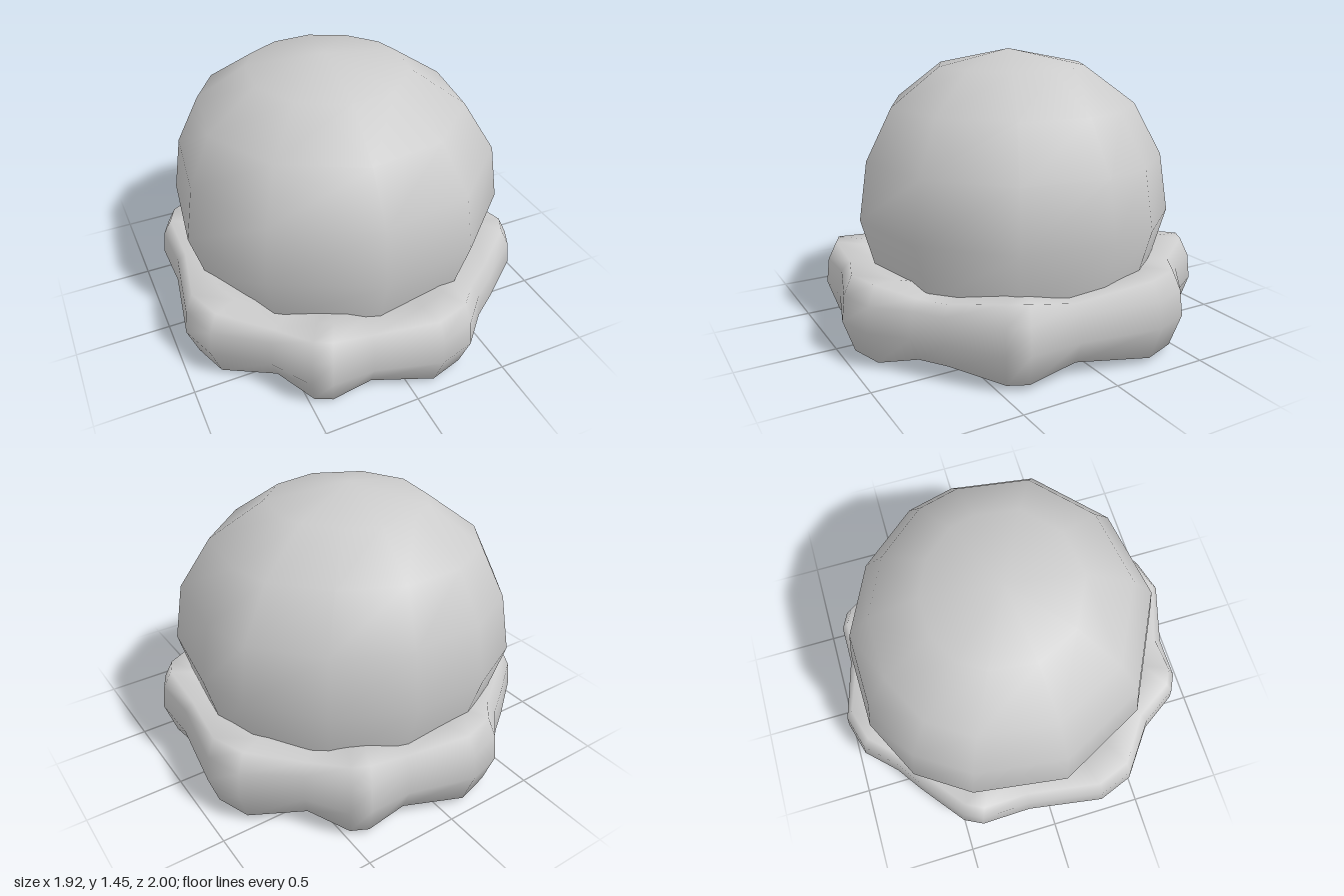
import * as THREE from 'three';
import { mergeVertices } from 'three/addons/utils/BufferGeometryUtils.js';

// Smooth skin over equally sized closed rings of [x, y, z] points.
function loft(rings, closed) {
  const n = rings[0].length, index = [];
  const last = closed ? rings.length : rings.length - 1;
  for (let v = 0; v < last; v++) {
    const w = (v + 1) % rings.length;
    for (let u = 0; u < n; u++) {
      const k = (u + 1) % n;
      const a = v * n + u, b = v * n + k, c = w * n + k, d = w * n + u;
      index.push(a, d, b, b, d, c);
    }
  }
  const geo = new THREE.BufferGeometry();
  geo.setAttribute('position', new THREE.Float32BufferAttribute(rings.flat(2), 3));
  geo.setIndex(index);
  const merged = mergeVertices(geo, 1e-4);
  merged.computeVertexNormals();
  return merged;
}

// Uneven twelve-sided outline of the dome, as [x, z]
const domeOutline = [
  [-0.28, -0.84], [0.13, -0.85], [0.51, -0.67], [0.78, -0.35], [0.85, -0.08], [0.78, 0.39],
  [0.41, 0.73], [-0.1, 0.81], [-0.61, 0.55], [-0.85, 0.08], [-0.78, -0.41], [-0.6, -0.68],
];

// Dome levels: [height, scale of the outline, sideways lean]
const domeLevels = [
  [0.2, 0.85, 0], [0.32, 0.9, 0], [0.62, 1, 0], [0.92, 0.945, 0],
  [1.18, 0.78, -0.02], [1.37, 0.47, -0.03], [1.45, 0, -0.05],
];

// Half of the wavy rim outline; the other half is the same turned by 180 degrees
const halfRim = [
  [-0.13, -1], [0.2, -0.905], [0.42, -0.905], [0.51, -0.86], [0.64, -0.66], [0.89, -0.47],
  [0.96, -0.28], [0.895, 0.13], [0.9, 0.4], [0.85, 0.5], [0.61, 0.69], [0.47, 0.79], [0.32, 0.945],
];

// Cross-section of the rim for a given outer radius, higher and deeper on the bumps
function rimSection(r) {
  const t = THREE.MathUtils.clamp((r - 0.91) / 0.08, 0, 1);
  const top = 0.37 + 0.055 * t, bottom = 0.045 * (1 - t);
  return [
    [r, 0.2], [r - 0.015, 0.33], [r - 0.06, top], [r - 0.2, top - 0.015],
    [0.62, 0.36], [0.52, 0.3], [0.47, 0.17], [0.49, 0.07], [0.6, 0.04],
    [r - 0.17, bottom], [r - 0.06, bottom + 0.03],
  ];
}

export function createModel() {
  const group = new THREE.Group();
  const material = new THREE.MeshStandardMaterial({ color: 0xcccccc, side: THREE.DoubleSide });
  const add = (name, geometry) => {
    const mesh = new THREE.Mesh(geometry, material);
    mesh.name = name;
    group.add(mesh);
  };

  // Hollow dome, open underneath
  add('dome', loft(domeLevels.map(([y, s, lean]) =>
    domeOutline.map(([x, z]) => [x * s + lean, y, z * s + lean * 0.5])), false));

  // Wavy rolled rim around the foot of the dome
  const outline = [...halfRim, ...halfRim.map(([x, z]) => [-x, -z])];
  const sections = outline.map(([x, z]) => {
    const r = Math.hypot(x, z);
    return rimSection(r).map(([d, y]) => [x / r * d, y, z / r * d]);
  });
  add('rim', loft(sections[0].map((_, i) => sections.map((s) => s[i])), true));

  return group;
}
